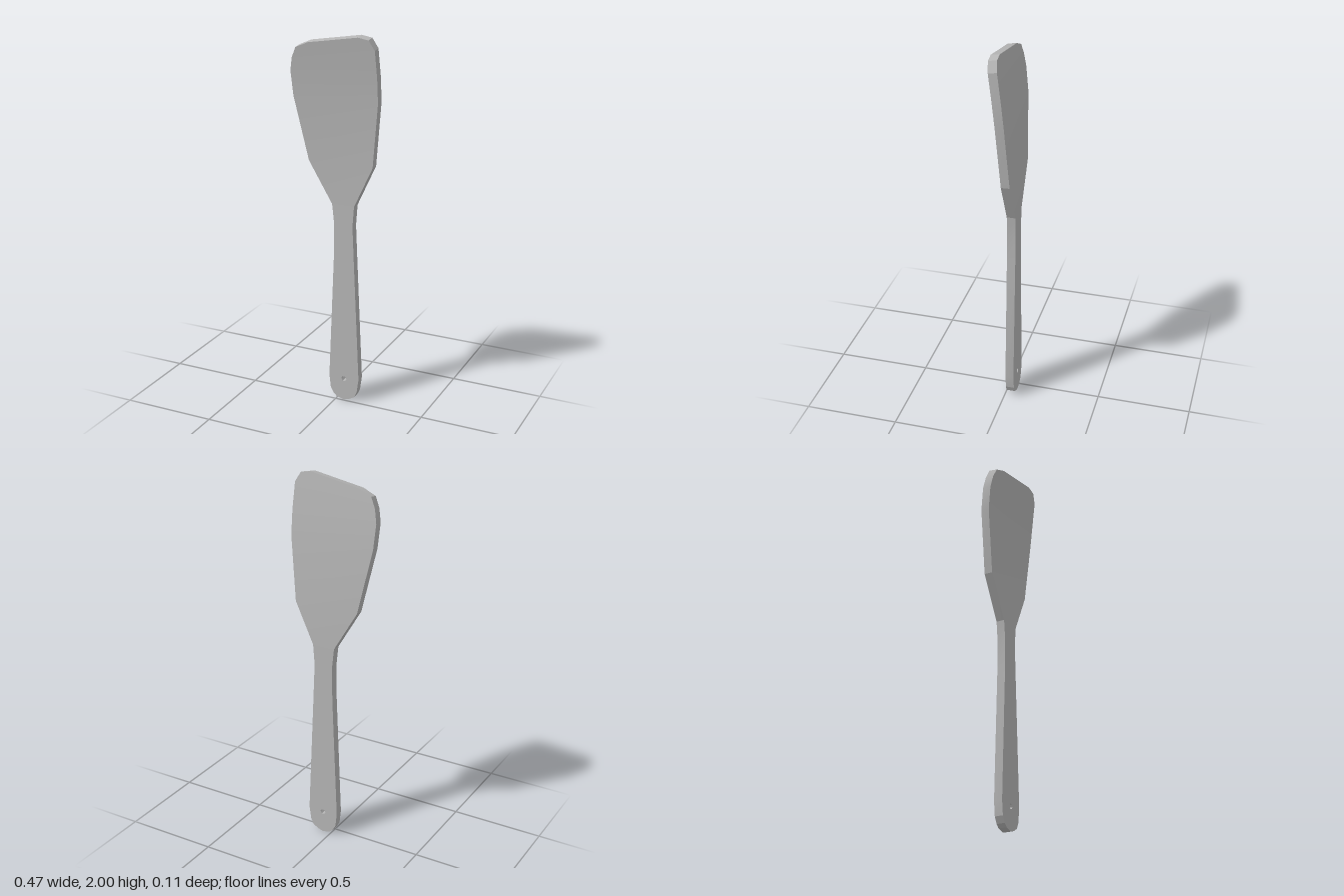
import * as THREE from 'three';
import { toCreasedNormals } from 'three/addons/utils/BufferGeometryUtils.js';

const BACK = -0.053, THICK = 0.045;

// Flat handle with rounded end and hanging hole
function handleGeometry() {
  const outline = [
    [0.045, 0], [0.075, 0.008], [0.107, 0.027], [0.122, 0.06], [0.132, 0.135],
    [0.1, 0.82], [0.092, 1.0], [0.1, 1.11],
    [-0.024, 1.11], [-0.012, 1.0], [-0.014, 0.82],
    [-0.041, 0.135], [-0.033, 0.06], [-0.015, 0.027], [0.005, 0.01],
  ].map(([x, y]) => new THREE.Vector2(x, y));
  const shape = new THREE.Shape(outline);
  const hole = [];
  for (let i = 0; i < 6; i++) {
    const a = -i * Math.PI / 3;
    hole.push(new THREE.Vector2(0.046 + 0.015 * Math.cos(a), 0.125 + 0.015 * Math.sin(a)));
  }
  shape.holes.push(new THREE.Path(hole));
  const geo = new THREE.ExtrudeGeometry(shape, { depth: THICK, bevelEnabled: false });
  return geo.translate(0, 0, BACK);
}

// Blade lofted between paired edge points, curving forward towards the tip
function bladeGeometry() {
  const rows = [ // left x, y, right x, y
    [-0.024, 1.11, 0.1, 1.11],
    [-0.155, 1.33, 0.202, 1.33],
    [-0.23, 1.67, 0.236, 1.67],
    [-0.238, 1.8, 0.236, 1.8],
    [-0.225, 1.87, 0.23, 1.94],
    [-0.2, 1.925, 0.2, 1.99],
    [-0.13, 1.955, 0.145, 2.0],
  ];
  const pos = [], index = [];
  const point = (x, y, front) => {
    const u = Math.max(0, (y - 1.2) / 0.8);
    const z = BACK + 0.064 * u * u, tilt = 0.16 * u;
    pos.push(x, y - front * THICK * Math.sin(tilt), z + front * THICK * Math.cos(tilt));
  };
  for (const [xl, yl, xr, yr] of rows) {
    point(xl, yl, 1);
    point(xr, yr, 1);
    point(xr, yr, 0);
    point(xl, yl, 0);
  }
  const quad = (a, b, c, d) => index.push(a, b, c, a, c, d);
  for (let i = 0; i < rows.length - 1; i++) {
    for (let k = 0; k < 4; k++) {
      const a = 4 * i + k, b = 4 * i + (k + 1) % 4;
      quad(a, b, b + 4, a + 4);
    }
  }
  const t = 4 * (rows.length - 1);
  quad(t, t + 1, t + 2, t + 3); // tip edge
  const geo = new THREE.BufferGeometry();
  geo.setAttribute('position', new THREE.Float32BufferAttribute(pos, 3));
  geo.setIndex(index);
  return geo;
}

export function createModel() {
  const group = new THREE.Group();
  group.name = 'spatula';
  const grey = new THREE.MeshStandardMaterial({ color: 0xb4b4b4 });
  grey.name = 'grey';
  const add = (name, geo) => {
    const mesh = new THREE.Mesh(toCreasedNormals(geo, 0.25), grey);
    mesh.name = name;
    group.add(mesh);
  };
  add('handle', handleGeometry());
  add('blade', bladeGeometry());
  return group;
}
